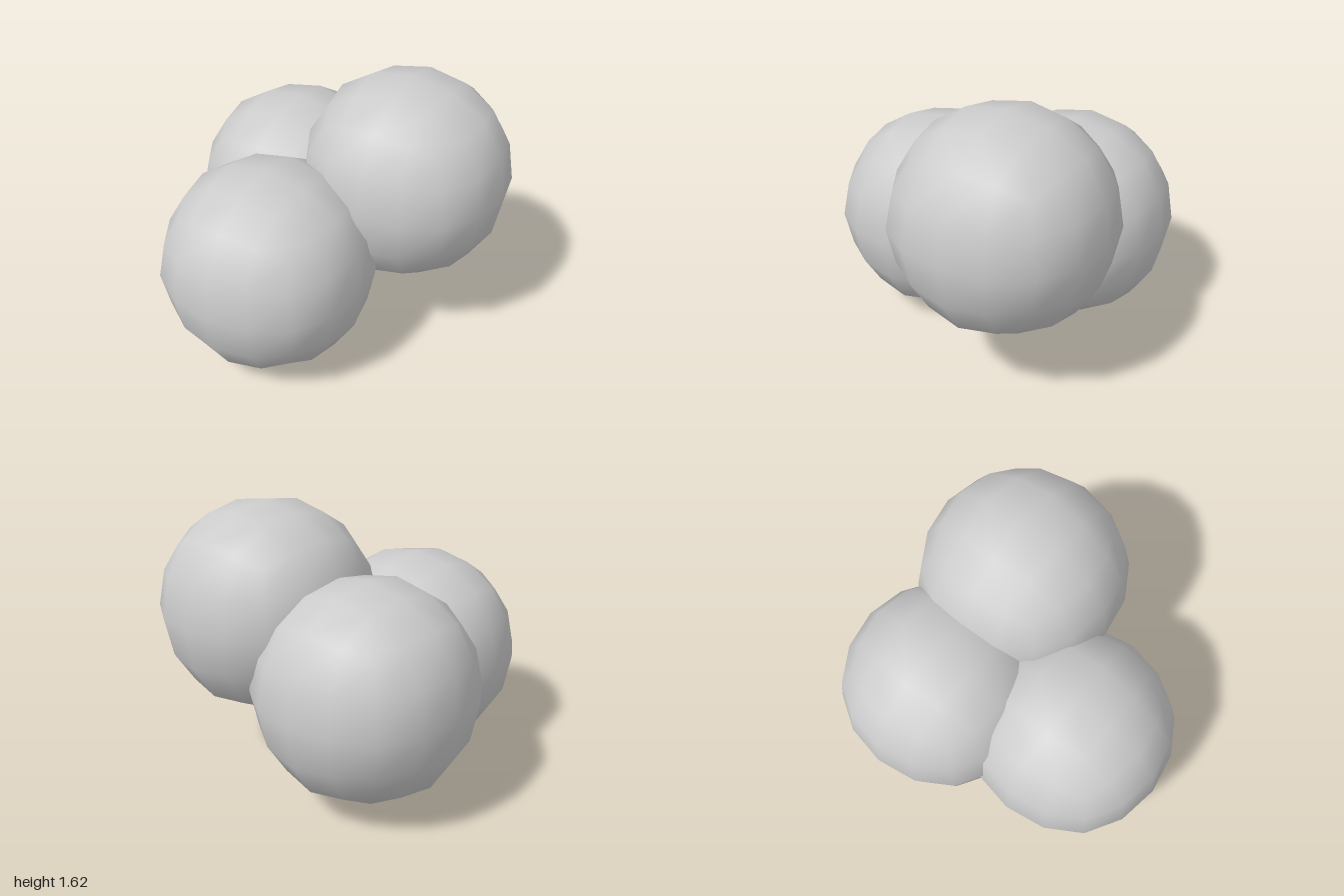
import * as THREE from 'three';
import { mergeVertices } from 'three/addons/utils/BufferGeometryUtils.js';

// Where each kind of point on a 4x4-per-side cube lands after two rounds of
// subdivision smoothing: [value for coordinate 1, value for coordinate 0.5]
const SMOOTHED = {
  '1,0,0': [0.8785, 0],
  '1,0.5,0': [0.8194, 0.3507],
  '1,0.5,0.5': [0.7639, 0.3264],
  '1,1,0': [0.6432, 0],
  '1,1,0.5': [0.599, 0.3021],
  '1,1,1': [0.5093, 0],
};

// A cube smoothed into a ball of the given radius along its axes
function smoothedCube(radius) {
  const box = new THREE.BoxGeometry(2, 2, 2, 4, 4, 4);
  box.deleteAttribute('uv');
  box.deleteAttribute('normal');
  const geometry = mergeVertices(box);
  geometry.clearGroups();
  const pos = geometry.attributes.position;
  const scale = radius / 0.8785;
  for (let i = 0; i < pos.count; i++) {
    const p = [pos.getX(i), pos.getY(i), pos.getZ(i)];
    const key = p.map(Math.abs).sort((a, b) => b - a).join(',');
    const [full, half] = SMOOTHED[key];
    const moved = p.map((c) => {
      const a = Math.abs(c);
      return Math.sign(c) * scale * (a === 1 ? full : a === 0.5 ? half : 0);
    });
    pos.setXYZ(i, ...moved);
  }
  geometry.computeVertexNormals();
  return geometry;
}

export function createModel() {
  const group = new THREE.Group();
  const material = new THREE.MeshStandardMaterial({ color: 0xcccccc });
  const geometry = smoothedCube(0.619);

  // Three equal balls that run into one another
  const balls = [
    ['frontBall', -0.11, 0.621, 0.381],
    ['backRightBall', -0.381, 0.687, -0.381],
    ['upperLeftBall', 0.381, 1.0, -0.381],
  ];
  for (const [name, x, y, z] of balls) {
    const ball = new THREE.Mesh(geometry, material);
    ball.name = name;
    ball.position.set(x, y, z);
    group.add(ball);
  }
  return group;
}
